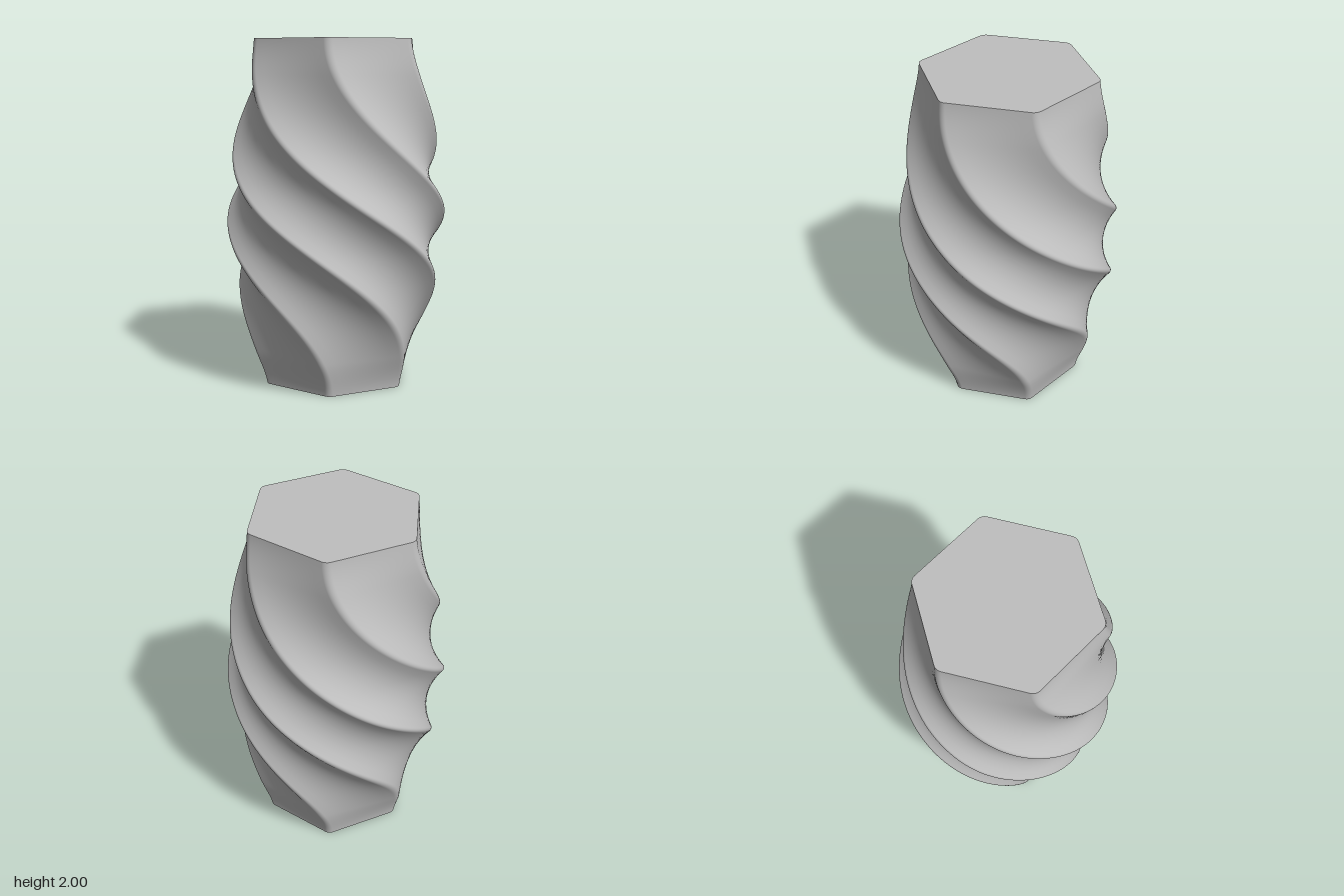
import * as THREE from 'three';

const HEIGHT = 2, ROWS = 180, ARC = 8, FLAT = 8;

// Unit hexagon with rounded corners, as [x, z] points running from +x towards +z
function hexSection() {
  const apothem = 0.88, fillet = 0.1, pts = [];
  const centreDist = (apothem - fillet) / Math.cos(Math.PI / 6);
  const corner = (side, u) => {
    const mid = side * Math.PI / 3, a = mid + (u - 0.5) * Math.PI / 3;
    return [
      centreDist * Math.cos(mid) + fillet * Math.cos(a),
      centreDist * Math.sin(mid) + fillet * Math.sin(a),
    ];
  };
  for (let side = 0; side < 6; side++) {
    for (let k = 0; k <= ARC; k++) pts.push(corner(side, k / ARC));
    const [ax, az] = corner(side, 1), [bx, bz] = corner(side + 1, 0);
    for (let k = 1; k < FLAT; k++) {
      const u = k / FLAT;
      pts.push([ax + (bx - ax) * u, az + (bz - az) * u]);
    }
  }
  return pts;
}

// Corner radius at evenly spaced heights, bottom to top
const radii = [0.44, 0.5, 0.553, 0.597, 0.627, 0.64, 0.624, 0.596, 0.564, 0.532, 0.5];
const bulge = new THREE.SplineCurve(radii.map((r, i) => new THREE.Vector2(r, i)));

// One ring of the body: the section scaled by the bulge and turned by an eased half turn
function ring(section, t) {
  const r = bulge.getPoint(t).x;
  const twist = Math.PI * THREE.MathUtils.smoothstep(t, 0, 1);
  const c = Math.cos(twist), s = Math.sin(twist);
  return section.flatMap(([x, z]) => [r * (x * c - z * s), HEIGHT * t, r * (x * s + z * c)]);
}

function buildGeometry(positions, index) {
  const geo = new THREE.BufferGeometry();
  geo.setAttribute('position', new THREE.Float32BufferAttribute(positions, 3));
  geo.setIndex(index);
  geo.computeVertexNormals();
  return geo;
}

function bodyGeometry(section) {
  const n = section.length, positions = [], index = [];
  for (let i = 0; i <= ROWS; i++) positions.push(...ring(section, i / ROWS));
  for (let i = 0; i < ROWS; i++) {
    for (let j = 0; j < n; j++) {
      const a = i * n + j, b = i * n + (j + 1) % n;
      index.push(a, a + n, b, b, a + n, b + n);
    }
  }
  return buildGeometry(positions, index);
}

function capGeometry(section, t) {
  const n = section.length, index = [];
  const positions = [...ring(section, t), 0, HEIGHT * t, 0];
  for (let j = 0; j < n; j++) {
    const next = (j + 1) % n;
    if (t === 1) index.push(n, next, j);
    else index.push(n, j, next);
  }
  return buildGeometry(positions, index);
}

export function createModel() {
  const group = new THREE.Group();
  group.name = 'twistedHexVase';
  const grey = new THREE.MeshStandardMaterial({ color: 0xbfbfbf });
  grey.name = 'light grey';
  const section = hexSection();
  const add = (name, geometry) => {
    const mesh = new THREE.Mesh(geometry, grey);
    mesh.name = name;
    group.add(mesh);
  };
  add('twistedBody', bodyGeometry(section));
  add('topCap', capGeometry(section, 1));
  add('bottomCap', capGeometry(section, 0));
  return group;
}
